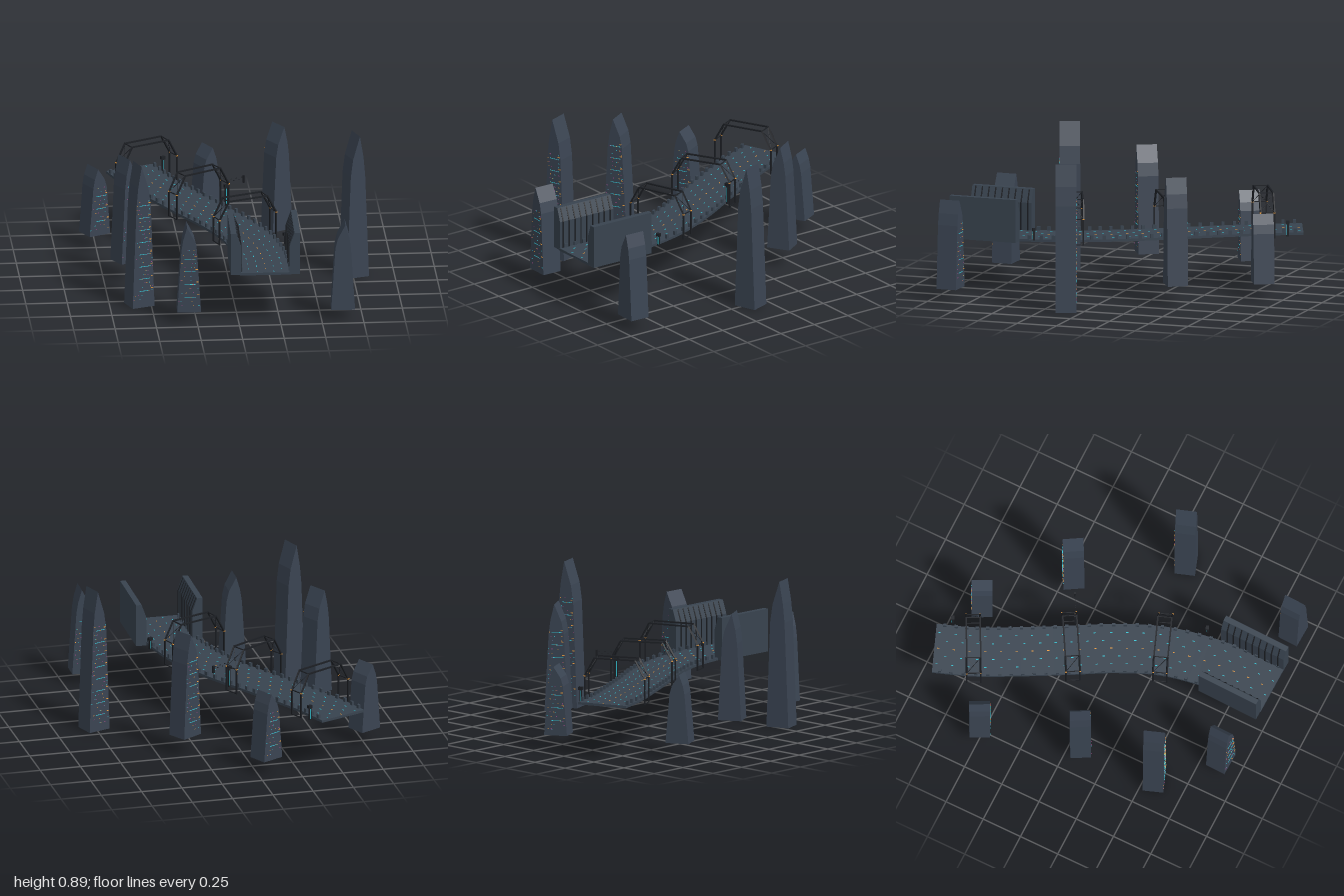
import * as THREE from 'three';

const mat = (color) => new THREE.MeshStandardMaterial({ color, flatShading: true });
const deckMat = mat(0x38434f), towerMat = mat(0x3a4452), darkMat = mat(0x1c1f24);
const cyan = mat(0x35c8d8), orange = mat(0xf0a040), magenta = mat(0xb04890);
const V = (x, y, z) => new THREE.Vector3(x, y, z);

// Road centre line (deck surface), front to back
const road = new THREE.CatmullRomCurve3([
  V(0.159, 0.33, 0.99), V(0.162, 0.33, 0.8), V(0.146, 0.33, 0.57), V(0.087, 0.333, 0.29),
  V(-0.03, 0.335, 0.02), V(-0.155, 0.337, -0.205), V(-0.3, 0.342, -0.47),
  V(-0.43, 0.346, -0.725), V(-0.515, 0.35, -0.945),
]);

function frameAt(u) {
  const p = road.getPointAt(u), t = road.getTangentAt(u);
  return { p, yaw: Math.atan2(-t.x, -t.z), across: V(-t.z, 0, t.x).normalize() };
}

function add(parent, name, geo, material, x = 0, y = 0, z = 0, yaw = 0) {
  const m = new THREE.Mesh(geo, material);
  m.name = name;
  m.position.set(x, y, z);
  m.rotation.y = yaw;
  parent.add(m);
  return m;
}

const box = (parent, name, material, w, h, d, x, y, z, yaw) =>
  add(parent, name, new THREE.BoxGeometry(w, h, d), material, x, y, z, yaw);

// Square bar between two points, in the parent's frame
function bar(parent, name, a, b, r = 0.0045) {
  const m = add(parent, name, new THREE.BoxGeometry(r * 2, r * 2, a.distanceTo(b) + r), darkMat);
  m.position.copy(a).add(b).multiplyScalar(0.5);
  m.quaternion.setFromUnitVectors(V(0, 0, 1), b.clone().sub(a).normalize());
}

// Rectangular section swept along the road
function sweep(x0, x1, y0, y1, n = 32) {
  const pos = [], idx = [];
  for (let i = 0; i <= n; i++) {
    const { p, across } = frameAt(i / n);
    for (const [x, y] of [[x0, y0], [x1, y0], [x1, y1], [x0, y1]]) {
      pos.push(p.x + across.x * x, p.y + y, p.z + across.z * x);
    }
  }
  for (let i = 0; i < n; i++) {
    for (let k = 0; k < 4; k++) {
      const a = i * 4 + k, b = i * 4 + (k + 1) % 4;
      idx.push(a, b + 4, b, a, a + 4, b + 4);
    }
  }
  const e = n * 4;
  idx.push(0, 1, 2, 0, 2, 3, e, e + 2, e + 1, e, e + 3, e + 2);
  const g = new THREE.BufferGeometry();
  g.setAttribute('position', new THREE.Float32BufferAttribute(pos, 3));
  g.setIndex(idx);
  g.computeVertexNormals();
  return g;
}

function extrude(points, depth) {
  const shape = new THREE.Shape(points.map(([x, y]) => new THREE.Vector2(x, y)));
  return new THREE.ExtrudeGeometry(shape, { depth, bevelEnabled: false }).translate(0, 0, -depth / 2);
}

let seed = 7;
const rand = () => (seed = (seed * 16807) % 2147483647) / 2147483647;

// Tapered tower with an off-centre ridge; lights on its local +z face
function tower(parent, x, z, y0, y1, degrees) {
  const g = new THREE.Group(), h = y1 - y0;
  g.name = 'tower';
  g.position.set(x, y0, z);
  g.rotation.y = THREE.MathUtils.degToRad(degrees);
  const profile = [[-0.072, 0], [0.072, 0], [0.047, 0.72], [0.032, 0.84], [-0.013, 1], [-0.036, 0.85], [-0.047, 0.72]];
  add(g, 'towerBody', extrude(profile.map(([u, f]) => [u, f * h]), 0.125), towerMat);
  const rows = Math.round(h / 0.035);
  for (let i = 1; i < rows; i++) {
    const f = 0.75 * i / rows + 0.03, half = 0.068 - 0.035 * f;
    for (const m of [cyan, orange, magenta]) {
      box(g, 'windowLight', m, 0.006, 0.003, 0.003, (rand() * 2 - 1) * half, f * h, 0.063);
    }
    if (i % 3 === 0) {
      box(g, 'lightStrip', cyan, 0.065, 0.003, 0.003, 0.005, f * h, 0.063);
      box(g, 'stripLamp', orange, 0.014, 0.004, 0.004, half - 0.007, f * h + 0.015, 0.063);
    }
  }
  parent.add(g);
}

// Two chamfered portals over the road, tied and braced
function gantry(parent, x, y, z, degrees) {
  const g = new THREE.Group();
  g.name = 'gantry';
  g.position.set(x, y, z);
  g.rotation.y = THREE.MathUtils.degToRad(degrees);
  const pts = [[-0.188, -0.025], [-0.188, 0.13], [-0.128, 0.24], [0.128, 0.24], [0.188, 0.13], [0.188, -0.025]];
  const at = (i, s) => V(pts[i][0], pts[i][1], s * 0.042);
  for (const s of [-1, 1]) {
    for (let i = 0; i < 5; i++) bar(g, 'portalBar', at(i, s), at(i + 1, s));
    for (const i of [1, 4]) box(g, 'jointLamp', orange, 0.011, 0.006, 0.011, pts[i][0], pts[i][1], s * 0.042);
  }
  for (let i = 0; i < 6; i++) bar(g, 'tieBar', at(i, -1), at(i, 1), 0.0025);
  for (const i of [1, 3]) {
    bar(g, 'brace', at(i, -1), at(i + 1, 1), 0.0012);
    bar(g, 'brace', at(i, 1), at(i + 1, -1), 0.0012);
  }
  parent.add(g);
}

// Barrier wall, chamfered and ribbed on the road side
function wall(parent, s) {
  const g = new THREE.Group();
  g.name = 'barrierWall';
  g.position.set(0.162 + s * 0.175, 0.318, s > 0 ? 0.782 : 0.79);
  g.rotation.y = -0.025;
  const profile = [[-0.029, 0], [0.034, 0], [0.034, 0.262], [0, 0.262], [-0.029, 0.18]];
  add(g, 'wallBody', extrude(profile.map(([x, y]) => [x * s, y]), s > 0 ? 0.425 : 0.39), deckMat);
  const rib = [[-0.033, 0.01], [-0.02, 0.01], [0.004, 0.258], [-0.002, 0.258], [-0.033, 0.18]];
  for (let i = 0; i < 9; i++) {
    add(g, 'wallRib', extrude(rib.map(([x, y]) => [x * s, y]), 0.008), darkMat, 0, 0, -0.172 + i * 0.043);
  }
  parent.add(g);
}

export function createModel() {
  const model = new THREE.Group();
  model.name = 'elevatedRoad';

  add(model, 'deck', sweep(-0.155, 0.155, -0.015, 0), deckMat);

  // Edge blocks
  for (let i = 0; i < 30; i++) {
    const { p, yaw, across } = frameAt(0.02 + i * 0.033);
    for (const s of [-1, 1]) {
      const q = p.clone().addScaledVector(across, s * 0.146);
      box(model, 'edgeBlock', deckMat, 0.014, 0.024, 0.02, q.x, q.y + 0.012, q.z, yaw);
    }
  }

  // Road markings
  for (let i = 0; i < 44; i++) {
    const { p, yaw, across } = frameAt((i + 0.5) / 44);
    [-0.1, -0.05, 0, 0.05, 0.1].forEach((x, k) => {
      const q = p.clone().addScaledVector(across, x);
      const m = k === 2 ? orange : cyan;
      if ((i + k) % 2) box(model, 'roadMark', m, 0.004, 0.002, 0.014, q.x, q.y + 0.001, q.z, yaw);
    });
  }

  wall(model, -1);
  wall(model, 1);

  gantry(model, 0.087, 0.333, 0.29, 21);
  gantry(model, -0.153, 0.337, -0.207, 30);
  gantry(model, -0.428, 0.346, -0.725, 27);

  // Roadside posts
  for (const [x, z, h] of [[0.315, 0.475, 0.06], [0.015, -0.26, 0.12], [-0.315, -0.92, 0.08]]) {
    box(model, 'post', darkMat, 0.012, h, 0.012, x, 0.33 + h / 2, z, 0.4);
    box(model, 'postHead', darkMat, 0.026, 0.018, 0.02, x, 0.335 + h, z, 0.4);
    box(model, 'postLight', cyan, 0.004, h * 0.8, 0.014, x, 0.33 + h / 2, z, 0.4);
  }

  // Hanging sign beyond a dotted arm
  for (let i = 0; i < 6; i++) {
    const f = i / 6;
    box(model, 'armDot', darkMat, 0.007, 0.004, 0.004, 0.03 + f * 0.1, 0.478 + (i % 2) * 0.012, -0.27 - f * 0.05, 0.45);
  }
  box(model, 'sign', darkMat, 0.012, 0.045, 0.012, 0.127, 0.475, -0.32, 0.45);

  // Towers: x, z, base, top, turn (those right of the road are turned half round)
  for (const t of [
    [-0.757, -0.52, 0.09, 0.51, 27], [-0.063, -0.85, 0.09, 0.51, 207],
    [0.333, -0.435, 0.12, 0.775, 211], [-0.614, 0.084, 0.12, 0.775, 29],
    [0.757, 0.113, 0, 0.895, 199], [-0.57, 0.56, 0, 0.895, 20],
    [-0.296, 0.87, 0.07, 0.607, -2], [0.63, 0.895, 0.07, 0.607, 178],
  ]) tower(model, ...t);

  return model;
}
